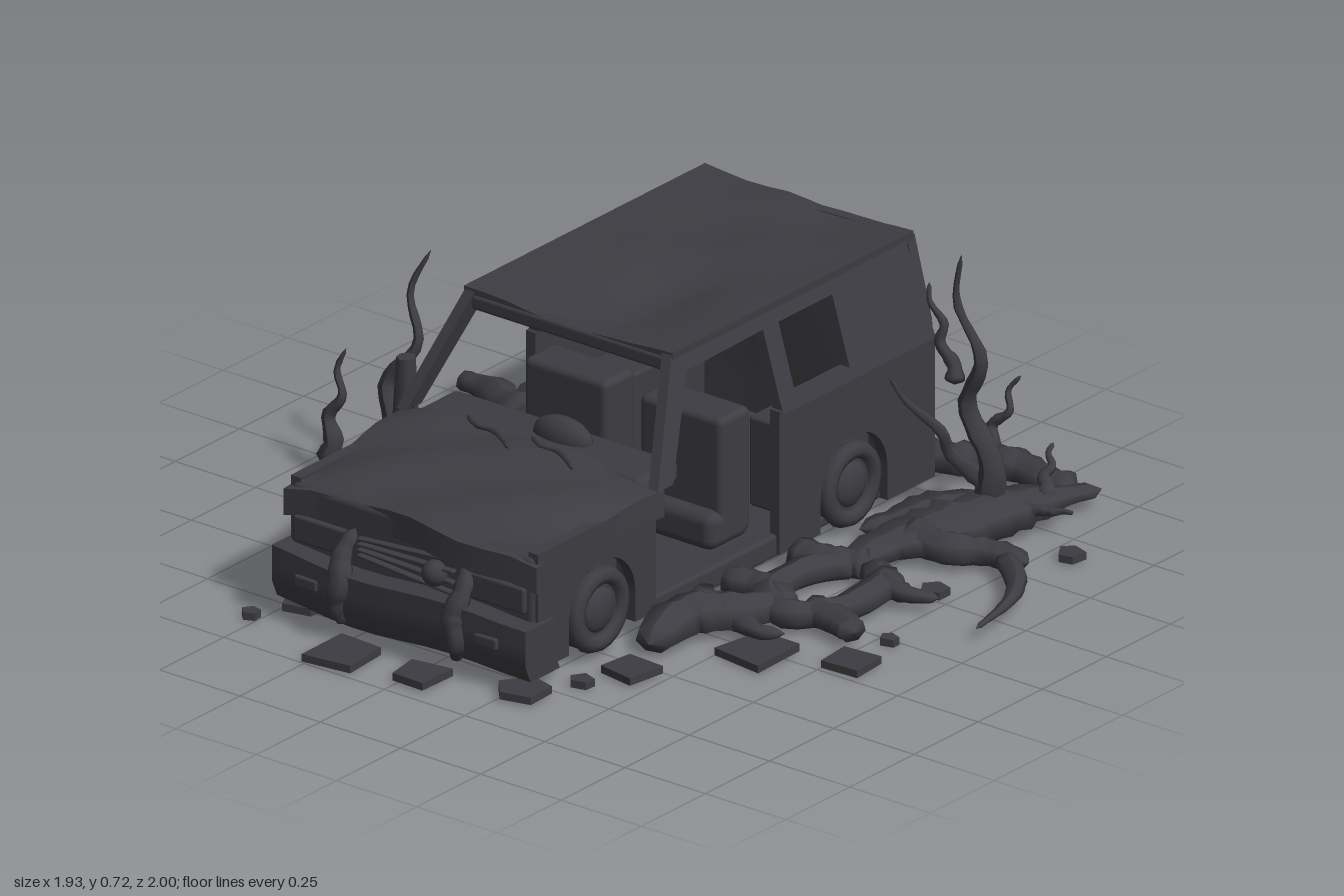
import * as THREE from 'three';
import { toCreasedNormals } from 'three/addons/utils/BufferGeometryUtils.js';
import { RoundedBoxGeometry } from 'three/addons/geometries/RoundedBoxGeometry.js';

const CX = -0.08; // centre line of the van and the roots
const char = new THREE.MeshStandardMaterial({ color: 0x3d3c42, side: THREE.DoubleSide });
char.name = 'charred grey';

let seed = 7;
const rnd = () => (seed = (seed * 16807) % 2147483647) / 2147483647;
const { lerp } = THREE.MathUtils;

function add(parent, name, geo, x = 0, y = 0, z = 0) {
  const m = new THREE.Mesh(geo, char);
  m.name = name;
  m.position.set(x, y, z);
  parent.add(m);
  return m;
}

function group(name, x = 0, y = 0, z = 0) {
  const g = new THREE.Group();
  g.name = name;
  g.position.set(x, y, z);
  return g;
}

// Move every vertex by a rule, then recompute shading
function warp(geo, rule) {
  const p = geo.attributes.position, v = new THREE.Vector3();
  for (let i = 0; i < p.count; i++) {
    rule(v.fromBufferAttribute(p, i));
    p.setXYZ(i, v.x, v.y, v.z);
  }
  return toCreasedNormals(geo, 0.6);
}

const box = (p, n, w, h, d, x, y, z, r = 0.01) => add(p, n, new RoundedBoxGeometry(w, h, d, 2, r), x, y, z);

// Gnarled tube along points, its radius a rule of t in 0..1, squashed in height by flat
function root(parent, name, pts, radius, flat = 1) {
  const sides = 7, seg = pts.length * 4;
  const curve = new THREE.CatmullRomCurve3(pts);
  const geo = new THREE.TubeGeometry(curve, seg, 1, sides);
  const p = geo.attributes.position, v = new THREE.Vector3();
  for (let i = 0; i <= seg; i++) {
    const c = curve.getPointAt(i / seg);
    const r = i % seg ? radius(i / seg) * (0.88 + 0.24 * rnd()) : 0;
    for (let j = 0; j <= sides; j++) {
      const n = i * (sides + 1) + j;
      v.fromBufferAttribute(p, n).sub(c).multiplyScalar(r);
      v.y *= flat;
      v.add(c);
      p.setXYZ(n, v.x, Math.max(v.y, 0.01), v.z);
    }
  }
  geo.computeVertexNormals();
  add(parent, name, geo);
}

// Root lying on the ground along [x, z] points
const groundRoot = (parent, path, r0, r1, bulge = 0, flat = 0.8) =>
  root(parent, 'groundRoot', path.map(([x, z]) => new THREE.Vector3(x, 0.04, z)),
    t => lerp(r0, r1, t) + bulge * Math.sin(Math.PI * t) ** 2, flat);

// Upright branch from base to tip, kinked left and right on the way
function branch(parent, base, tip, r, kink = 0.03) {
  const a = new THREE.Vector3(...base), b = new THREE.Vector3(...tip), pts = [];
  for (let i = 0; i <= 5; i++) {
    const p = a.clone().lerp(b, i / 5);
    if (i % 5) p.x += kink * (i % 2 ? 1 : -1);
    pts.push(p);
  }
  root(parent, 'deadBranch', pts, t => lerp(r, 0.005, Math.sqrt(t)));
}

// Side sheet drawn in (z, y), leaning inward above the beltline
function sideSheet(parent, name, shape, side, half, lean = 0) {
  const t = 0.03;
  const geo = new THREE.ExtrudeGeometry(shape, { depth: t, bevelEnabled: false, curveSegments: 14 });
  geo.rotateY(-Math.PI / 2).translate(side > 0 ? half : t - half, 0, 0);
  add(parent, name, warp(geo, v => { v.x -= side * lean * (v.y - 0.42); }));
}

const poly = pts => new THREE.Shape(pts.map(p => new THREE.Vector2(...p)));

// Panel with a wheel arch cut from its lower edge
function archPanel(z0, z1, y0, y1, zc, r) {
  const s = new THREE.Shape();
  s.moveTo(z0, y0).lineTo(zc - r, y0);
  s.absarc(zc, 0.13, r, Math.PI, 0, true);
  s.lineTo(zc + r, y0).lineTo(z1, y0).lineTo(z1, y1).lineTo(z0, y1);
  return s;
}

// Wheel with the filled well behind it
function buildWheel(s, z, x) {
  const w = group('wheel', s * x, 0.125, z);
  add(w, 'tyre', toCreasedNormals(new THREE.CylinderGeometry(0.107, 0.107, 0.1, 20), 0.6)).rotation.z = Math.PI / 2;
  add(w, 'tyreWall', new THREE.TorusGeometry(0.088, 0.024, 8, 20), s * 0.045).rotation.y = Math.PI / 2;
  add(w, 'hub', new THREE.SphereGeometry(0.06, 12, 8), s * 0.045).scale.x = 0.4;
  box(w, 'wheelWell', 0.14, 0.24, 0.3, -s * 0.08, 0.06, 0);
  return w;
}

function buildVan() {
  const van = group('van', CX - 0.01);

  // Body sides: pillars with the open doorway and rear window, then lower panels
  const upper = poly([[0.33, 0.38], [0.17, 0.665], [-0.74, 0.665], [-0.765, 0.41], [-0.17, 0.41], [-0.17, 0.62], [0.13, 0.615], [0.27, 0.38]]);
  upper.holes.push(poly([[-0.23, 0.44], [-0.44, 0.44], [-0.44, 0.62], [-0.23, 0.62]]));
  for (const s of [-1, 1]) {
    sideSheet(van, 'pillarsAndRail', upper, s, 0.395, 0.3);
    sideSheet(van, 'rearQuarter', archPanel(-0.765, -0.16, 0.04, 0.42, -0.45, 0.13), s, 0.395);
    sideSheet(van, 'frontFender', archPanel(0.31, 0.77, 0.05, 0.36, 0.52, 0.13), s, 0.385);
    box(van, 'sill', 0.05, 0.06, 0.5, s * 0.36, 0.06, 0.07);
    van.add(buildWheel(s, 0.52, 0.325), buildWheel(s, -0.45, 0.335));
    box(van, 'seatBase', 0.26, 0.1, 0.16, s * 0.18, 0.12, -0.08, 0.03);
    box(van, 'seatBack', 0.26, 0.33, 0.12, s * 0.18, 0.25, -0.1, 0.02);
    box(van, 'fogLamp', 0.07, 0.03, 0.02, s * 0.28, 0.125, 0.838, 0.006);
    box(van, 'headlampPanel', 0.17, 0.07, 0.02, s * 0.275, 0.235, 0.785, 0.008);
    // Bowed bumper guard and bent wiper
    const guard = [], wiper = [];
    for (let i = 0; i < 5; i++) {
      guard.push(new THREE.Vector3(s * (0.175 + 0.012 * (i % 2)), 0.28 - i * 0.06, 0.78 + 0.065 * Math.sin(i * 0.6)));
      wiper.push(new THREE.Vector3(s * 0.1 - 0.1 + i * 0.05, 0.41, 0.31 + 0.02 * i + 0.012 * Math.sin(i * 2)));
    }
    root(van, 'bumperGuard', guard, t => 0.014 + 0.016 * Math.sin(t * Math.PI));
    root(van, 'wiper', wiper, () => 0.007);
  }

  // Crumpled roof with a torn dent near the front
  add(van, 'roof', warp(new THREE.BoxGeometry(0.65, 0.025, 0.94, 10, 1, 14), v => {
    v.z -= 0.3;
    const inside = Math.max(0, 1 - (v.x / 0.31) ** 2);
    const dent = Math.exp(-(((v.x - 0.06) / 0.11) ** 2) - ((v.z + 0.06) / 0.16) ** 2);
    const fold = Math.abs(Math.sin(v.z * 8 + v.x * 6)) + Math.abs(Math.sin(v.z * 5 - v.x * 9));
    v.y += 0.66 - inside * (0.04 * dent + 0.01 * fold);
  }));
  box(van, 'windscreenHeader', 0.6, 0.04, 0.04, 0, 0.637, 0.155);

  // Rear wall, tapering toward the roof
  add(van, 'rearWall', warp(new THREE.BoxGeometry(0.784, 0.62, 0.03, 6, 6, 1), v => {
    v.y += 0.35;
    v.x *= 1 - 0.76 * Math.max(0, v.y - 0.42);
    v.z += -0.755 + 0.012 * Math.sin(v.x * 7) * Math.sin(v.y * 7);
  }));

  // Floor, firewall, dashboard and steering wheel
  box(van, 'floor', 0.74, 0.03, 1.08, 0, 0.05, -0.22);
  box(van, 'engineFloor', 0.5, 0.05, 0.46, 0, 0.08, 0.52);
  box(van, 'firewall', 0.74, 0.34, 0.04, 0, 0.21, 0.31);
  box(van, 'dashboard', 0.7, 0.06, 0.16, 0, 0.365, 0.25, 0.02);
  add(van, 'dashHump', new THREE.SphereGeometry(0.09, 14, 8), 0.04, 0.395, 0.24).scale.set(1, 0.6, 0.45);
  add(van, 'steeringWheel', new THREE.TorusGeometry(0.065, 0.013, 8, 18), 0.17, 0.3, 0.225).rotation.x = 0.35;
  add(van, 'steeringColumn', new THREE.CylinderGeometry(0.04, 0.02, 0.09, 10), 0.17, 0.29, 0.26).rotation.x = Math.PI / 2;

  // Buckled bonnet, flared at the screen and drooping at the nose
  add(van, 'bonnet', warp(new THREE.BoxGeometry(0.78, 0.07, 0.48, 10, 2, 8), v => {
    const t = (v.z + 0.24) / 0.48, edge = (v.x / 0.39) ** 4;
    v.x *= 1.05 - 0.07 * Math.sin(t * Math.PI * 0.75);
    v.y += 0.367 - 0.05 * t * t - 0.03 * edge + 0.008 * Math.sin(v.x * 17 + t * 8);
    v.z += 0.547 + 0.014 * Math.sin(v.x * 9) * t;
  }));

  // Nose, grille, loose lamp and bumper
  box(van, 'nose', 0.76, 0.2, 0.09, 0, 0.25, 0.735, 0.02);
  for (let i = 0; i < 4; i++)
    box(van, 'grilleBar', 0.3, 0.009, 0.02, -0.01, 0.205 + i * 0.022, 0.787, 0.004).rotation.z = (i - 1.5) * 0.05;
  add(van, 'looseHeadlamp', new THREE.SphereGeometry(0.034, 12, 8), 0.08, 0.235, 0.79);
  add(van, 'bumper', warp(new THREE.BoxGeometry(0.79, 0.14, 0.13, 10, 3, 3), v => {
    v.z += 0.782 - (v.z > 0 ? 0.1 * v.x * v.x : 0) - (v.y < -0.05 ? 0.02 : 0);
    v.y += 0.115 + 0.008 * Math.sin(v.x * 11);
  }));
  return van;
}

function buildRoots() {
  const roots = group('roots');
  for (const s of [1, -1]) {
    // Ground network: distances are measured out from the centre line
    const lay = (path, ...size) => groundRoot(roots, path.map(([d, z]) => [CX + s * d, z]), ...size);
    // Broad flat mass beside the rear wheel
    lay([[0.75, -0.96], [0.69, -0.84], [0.63, -0.66], [0.59, -0.48], [0.55, -0.34], [0.56, -0.2]], 0.035, 0.045, 0.09, 0.45);
    lay([[0.62, -0.82], [0.56, -0.65], [0.5, -0.5], [0.44, -0.4]], 0.04, 0.04, 0.06, 0.5);
    lay([[0.55, -0.45], [0.68, -0.44], [0.77, -0.49], [0.89, -0.5]], 0.07, 0.03);
    // Loop with spurs
    const ring = [];
    for (let a = 0; a < 7; a++) ring.push([0.6 + 0.11 * Math.sin(a), -0.07 - 0.18 * Math.cos(a)]);
    lay(ring, 0.045, 0.045);
    lay([[0.4, -0.2], [0.48, -0.2], [0.6, -0.25]], 0.05, 0.05);
    lay([[0.66, -0.2], [0.77, -0.17], [0.85, -0.2]], 0.05, 0.012);
    lay([[0.64, 0.05], [0.74, 0.06], [0.82, 0.09]], 0.055, 0.035);
    lay([[0.58, 0.06], [0.52, 0.18], [0.44, 0.28], [0.47, 0.46]], 0.05, 0.045, 0.03);
    lay([[0.4, 0.2], [0.53, 0.2], [0.63, 0.23], [0.69, 0.2]], 0.07, 0.012);
    lay([[0.36, 0.04], [0.48, 0.02], [0.6, 0.08]], 0.05, 0.045);
    // Fork reaching over to the rear corner, and small twigs
    branch(roots, [CX + s * 0.63, 0.04, -0.72], [CX + s * 0.39, 0.37, -0.58], 0.045, 0.02);
    branch(roots, [CX + s * 0.69, 0.05, -0.8], [CX + s * 0.64, 0.15, -0.91], 0.03, 0.01);
    branch(roots, [CX + s * 0.68, 0.05, -0.72], [CX + s * 0.83, 0.07, -0.75], 0.03, 0.01);

    // Wavy root behind the van
    const wave = [], end = s > 0 ? 0.02 : 0.06;
    for (let i = 0; i <= 8; i++) wave.push([CX + s * lerp(0.7, end, i / 8), -0.96 + 0.014 * i + (i % 4 > 1 ? 0 : 0.035)]);
    groundRoot(roots, wave, 0.045, 0.015, 0.03);
  }
  groundRoot(roots, [[-0.19, -0.72], [-0.21, -0.82], [-0.15, -0.89], [-0.07, -0.92]], 0.045, 0.006);
  // Long trailing root
  groundRoot(roots, [[0.74, -0.49], [0.84, -0.41], [0.91, -0.3], [0.955, -0.11]], 0.035, 0.006);

  // Upright dead branches: trunk, fork and twig
  branch(roots, [0.52, 0.03, -0.7], [0.48, 0.72, -0.65], 0.055);
  branch(roots, [0.45, 0.36, -0.66], [0.34, 0.59, -0.7], 0.03, 0.015);
  branch(roots, [0.5, 0.16, -0.7], [0.57, 0.38, -0.77], 0.03, 0.015);
  branch(roots, [-0.78, 0.03, 0.06], [-0.7, 0.61, -0.06], 0.05);
  branch(roots, [-0.72, 0.12, 0.06], [-0.62, 0.28, 0.1], 0.03, 0.01);
  branch(roots, [-0.67, 0.03, -0.7], [-0.51, 0.57, -0.74], 0.055);
  branch(roots, [-0.62, 0.34, -0.68], [-0.53, 0.48, -0.66], 0.03, 0.01);
  branch(roots, [-0.92, 0.03, 0.08], [-0.885, 0.33, 0.04], 0.04, 0.015);
  add(roots, 'stump', new THREE.CylinderGeometry(0.025, 0.045, 0.35, 7), -0.69, 0.19, 0.05);
  return roots;
}

function buildDebris() {
  const debris = group('debris');
  // Broken slabs: x, z, size
  const slabs = [[0.8, 0.18, 0.12], [0.59, 0.28, 0.17], [0.42, 0.56, 0.12], [0.36, 0.68, 0.05], [-0.2, 0.92, 0.16], [0.04, 0.9, 0.12], [-0.57, 0.55, 0.08], [-0.52, 0.87, 0.04],
    [-0.69, 0.27, 0.12], [-0.91, -0.35, 0.06], [0.82, -0.65, 0.06], [0.7, -0.27, 0.06], [0.79, 0.02, 0.04], [-0.04, -0.97, 0.06], [0.29, 0.82, 0.11], [-0.46, 0.74, 0.09]];
  slabs.forEach(([x, z, size], i) => {
    const n = size > 0.11 ? 4 : 5, pts = [];
    for (let k = 0; k < n; k++) {
      const a = (k + 0.5 + (rnd() - 0.5) * 0.3) / n * Math.PI * 2;
      pts.push([Math.cos(a) * size * 0.65, Math.sin(a) * size * 0.6]);
    }
    const geo = new THREE.ExtrudeGeometry(poly(pts), { depth: 0.02, bevelEnabled: false });
    add(debris, 'slab', geo.rotateX(-Math.PI / 2), x, 0.003 * (i % 3), z);
  });
  return debris;
}

export function createModel() {
  const model = group('overgrownWreck');
  model.add(buildVan(), buildRoots(), buildDebris());
  return model;
}
